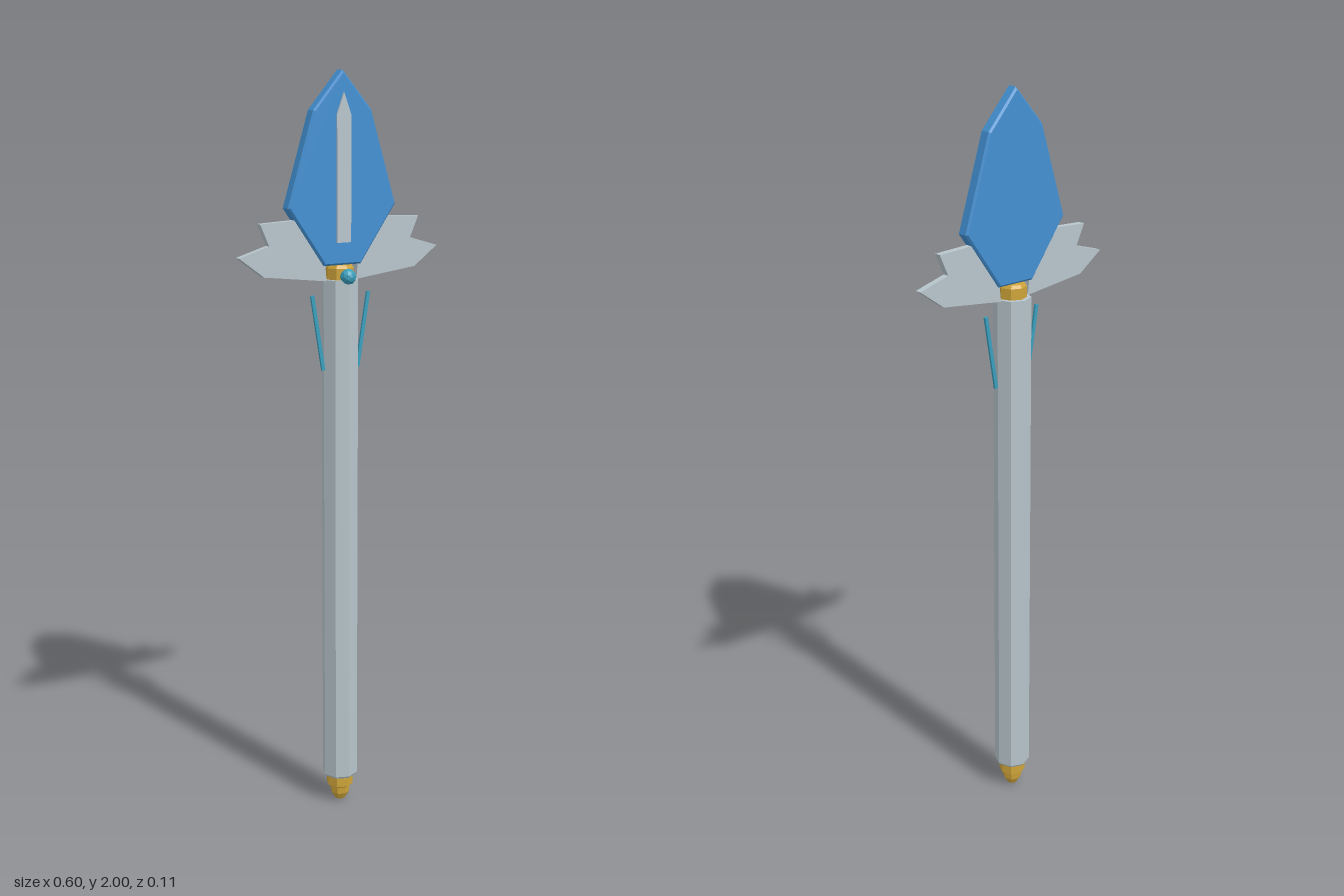
import * as THREE from 'three';

const Z = -0.007; // depth of the weapon's long axis

export function createModel() {
  const group = new THREE.Group();
  const material = (name, color) => {
    const m = new THREE.MeshStandardMaterial({ color, flatShading: true });
    m.name = name;
    return m;
  };
  const silver = material('silver', 0xb7c5cb);
  const blue = material('blue', 0x4390d2);
  const gold = material('gold', 0xcfa53a);
  const teal = material('teal', 0x3a9fbd);

  const add = (name, geometry, mat, x = 0, y = 0, z = Z) => {
    const mesh = new THREE.Mesh(geometry, mat);
    mesh.name = name;
    mesh.position.set(x, y, z);
    group.add(mesh);
    return mesh;
  };

  // Flat plate from an outline, centred on its thickness
  const plate = (points, depth, bevel = 0) => {
    const shape = new THREE.Shape(points.map(([x, y]) => new THREE.Vector2(x, y)));
    const geometry = new THREE.ExtrudeGeometry(shape, {
      depth: depth - 2 * bevel, bevelEnabled: bevel > 0, bevelSize: bevel,
      bevelThickness: bevel, bevelOffset: -bevel, bevelSegments: 1,
    });
    return geometry.translate(0, 0, bevel - depth / 2);
  };

  // Octagonal turned part from [radius, y] pairs
  const turned = (profile) =>
    new THREE.LatheGeometry(profile.map(([r, y]) => new THREE.Vector2(r, y)), 8);

  // Handle
  add('shaft', turned([[0, 0.08], [0.045, 0.08], [0.049, 0.086], [0.049, 1.475], [0, 1.475]]), silver);
  add('collar', turned([[0, 1.47], [0.037, 1.47], [0.037, 1.504], [0.032, 1.512], [0, 1.512]]), gold);
  add('pommel', turned([[0, 0], [0.014, 0.004], [0.026, 0.024], [0.028, 0.044],
    [0.037, 0.05], [0.037, 0.076], [0.033, 0.085], [0, 0.085]]), gold);
  add('gem', new THREE.IcosahedronGeometry(0.021, 1), teal, 0, 1.484, 0.034);

  // Blade with a raised strip on its front face
  add('blade', plate([[0, 2], [-0.086, 1.902], [-0.161, 1.662], [-0.055, 1.512],
    [0.055, 1.512], [0.161, 1.662], [0.086, 1.902]], 0.035, 0.005), blue);
  add('bladeStrip', plate([[0, 1.945], [-0.021, 1.89], [-0.021, 1.57],
    [0.021, 1.57], [0.021, 1.89]], 0.008), silver, 0, 0, 0.011);

  // Mirrored guard wings and slim side spikes
  for (const side of [-1, 1]) {
    const wing = [[0.045, 1.472], [0.228, 1.494], [0.299, 1.546], [0.213, 1.571],
      [0.238, 1.627], [0.13, 1.632], [0.05, 1.52]].map(([x, y]) => [side * x, y]);
    add(side > 0 ? 'leftWing' : 'rightWing', plate(wing, 0.018), silver);

    const spike = add(side > 0 ? 'leftSpike' : 'rightSpike',
      new THREE.BoxGeometry(0.01, 0.2, 0.006), teal, side * 0.069, 1.338, -0.004);
    spike.rotation.z = -side * 0.165;
  }
  return group;
}
